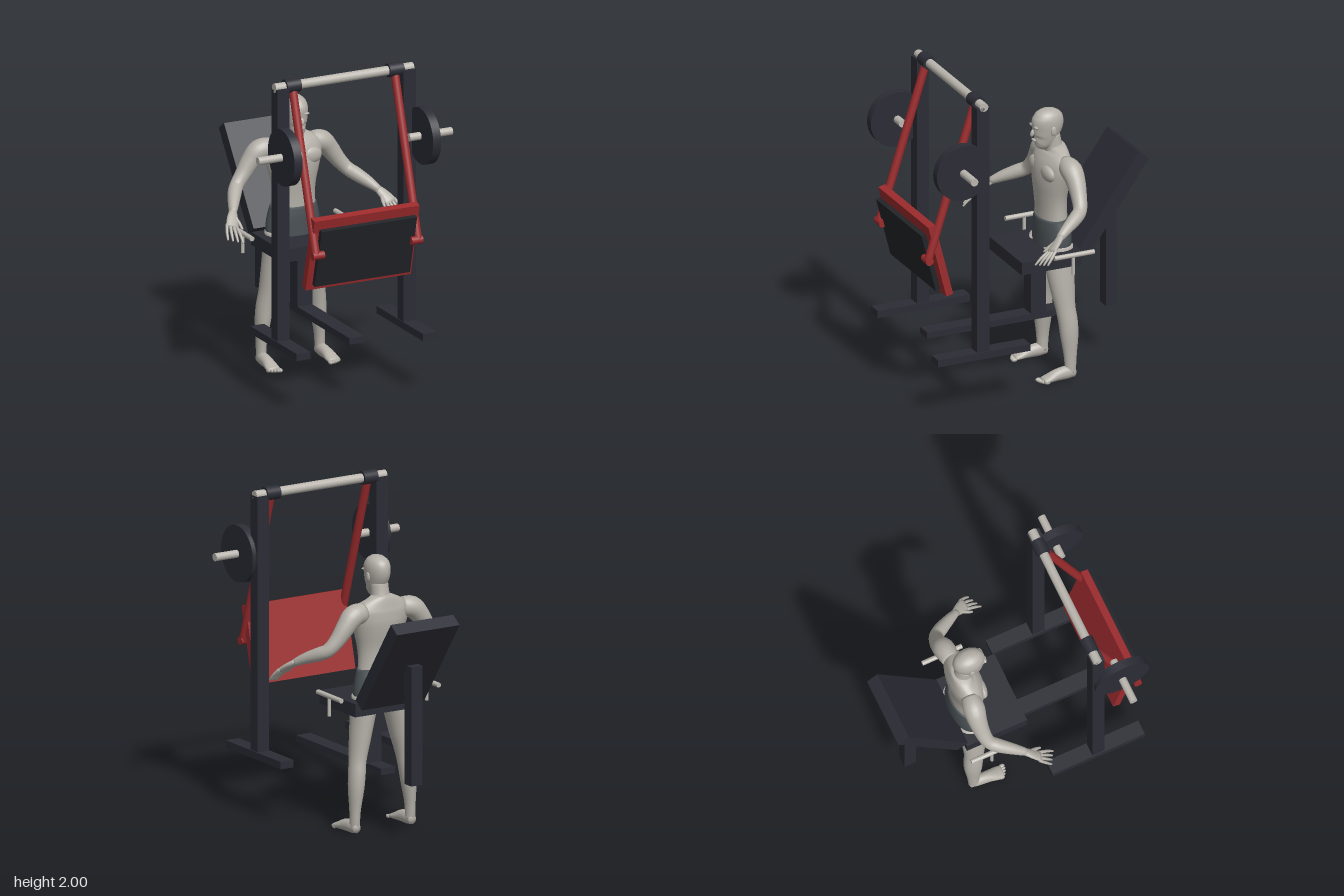
import * as THREE from 'three';

const mat = (name, color, side = THREE.FrontSide) => {
  const m = new THREE.MeshStandardMaterial({ color, side });
  m.name = name;
  return m;
};

export function createModel() {
  const model = new THREE.Group();
  model.name = 'leverMachineWithFigure';
  const steel = mat('darkSteel', 0x2b2c35);
  const red = mat('redPaint', 0x9c2b2d);
  const padding = mat('blackPadding', 0x232428);
  const bare = mat('paleMetal', 0xbab6ae);
  const skin = mat('greySkin', 0xb4b0a8);
  const cloth = mat('slateCloth', 0x4a5155);

  const add = (name, geometry, material, parent = model) => {
    const mesh = new THREE.Mesh(geometry, material);
    mesh.name = name;
    parent.add(mesh);
    return mesh;
  };
  // Box given by its lowest and highest corner
  const block = (name, x0, x1, y0, y1, z0, z1, m) => {
    const b = add(name, new THREE.BoxGeometry(x1 - x0, y1 - y0, z1 - z0), m);
    b.position.set((x0 + x1) / 2, (y0 + y1) / 2, (z0 + z1) / 2);
    return b;
  };
  // Slab tilted about the x axis
  const slab = (name, w, h, d, y, z, angle, m) => {
    const b = add(name, new THREE.BoxGeometry(w, h, d), m);
    b.position.set(0, y, z);
    b.rotation.x = angle;
  };
  // Round bar between two points
  const rod = (name, a, b, r, m, sides = 24) => {
    const p = new THREE.Vector3(...a), q = new THREE.Vector3(...b);
    const dir = q.clone().sub(p);
    const c = add(name, new THREE.CylinderGeometry(r, r, dir.length(), sides), m);
    c.position.copy(p).add(q).multiplyScalar(0.5);
    c.quaternion.setFromUnitVectors(new THREE.Vector3(0, 1, 0), dir.normalize());
    return c;
  };

  // Machine: central base, seat and backrest
  block('centreBase', -0.05, 0.05, 0.35, 0.39, -0.32, 0.61, steel);
  block('seatPost', -0.05, 0.05, 0.39, 0.73, -0.17, -0.07, steel);
  block('seat', -0.23, 0.23, 0.73, 0.81, -0.32, 0.075, steel);
  block('backrestPost', -0.04, 0.04, 0.35, 1.08, -0.64, -0.565, steel);
  slab('backrest', 0.44, 0.67, 0.084, 1.082, -0.536, -0.616, steel);

  // Swinging foot panel with its pad
  slab('pressPanel', 0.7, 0.476, 0.046, 0.973, 0.662, 0.25, red);
  slab('pressPad', 0.635, 0.38, 0.03, 0.957, 0.711, 0.25, padding);

  rod('topBar', [-0.46, 1.958, 0.43], [0.46, 1.958, 0.43], 0.028, bare);

  for (const s of [-1, 1]) {
    const span = (name, xa, xb, ...rest) =>
      block(name, Math.min(s * xa, s * xb), Math.max(s * xa, s * xb), ...rest);
    span('sideFoot', 0.375, 0.467, 0.345, 0.39, 0.13, 0.735, steel);
    span('upright', 0.38, 0.46, 0.35, 1.955, 0.395, 0.475, steel);
    rod('pivotCollar', [s * 0.295, 1.958, 0.43], [s * 0.39, 1.958, 0.43], 0.042, steel);
    rod('swingArm', [s * 0.34, 1.95, 0.433], [s * 0.34, 0.985, 0.74], 0.025, red);
    rod('armKnuckle', [s * 0.29, 0.985, 0.74], [s * 0.365, 0.985, 0.74], 0.025, red);
    rod('weightPeg', [s * 0.36, 1.572, 0.578], [s * 0.645, 1.572, 0.578], 0.024, bare);
    rod('weightPlate', [s * 0.435, 1.572, 0.578], [s * 0.488, 1.572, 0.578], 0.174, steel, 48);
    rod('handGrip', [s * 0.343, 0.852, -0.345], [s * 0.343, 0.852, -0.085], 0.015, bare);
    rod('gripPost', [s * 0.343, 0.73, -0.21], [s * 0.343, 0.852, -0.21], 0.011, bare);
  }

  // Smooth loft through elliptical sections [x, y, z, radius along ref, other radius]
  const X = [1, 0, 0];
  const loft = (sections, ref = X, s = 1, sides = 24, sub = 4) => {
    const path = new THREE.CatmullRomCurve3(
      sections.map(p => new THREE.Vector3(p[0] * s, p[1], p[2])), false, 'catmullrom');
    const size = new THREE.CatmullRomCurve3(
      sections.map(p => new THREE.Vector3(p[3], p[4] ?? p[3], 0)), false, 'catmullrom');
    const side = new THREE.Vector3(ref[0] * s, ref[1], ref[2]);
    const n = (sections.length - 1) * sub, pos = [], idx = [], ends = [];
    for (let i = 0; i <= n; i++) {
      const c = path.getPoint(i / n), r = size.getPoint(i / n), t = path.getTangent(i / n);
      const u = side.clone().addScaledVector(t, -side.dot(t)).normalize();
      const v = t.clone().cross(u);
      for (let j = 0; j < sides; j++) {
        const a = j / sides * Math.PI * 2;
        const p = c.clone().addScaledVector(u, r.x * Math.cos(a)).addScaledVector(v, r.y * Math.sin(a));
        pos.push(p.x, p.y, p.z);
      }
      if (i === 0 || i === n) ends.push(c.addScaledVector(t, (i ? 0.3 : -0.3) * Math.min(r.x, r.y)));
    }
    const base = (n + 1) * sides;
    ends.forEach(e => pos.push(e.x, e.y, e.z));
    for (let j = 0; j < sides; j++) {
      const k = (j + 1) % sides;
      for (let i = 0; i < n; i++) {
        const a = i * sides + j, b = i * sides + k;
        idx.push(a, b, b + sides, a, b + sides, a + sides);
      }
      idx.push(base, k, j, base + 1, n * sides + j, n * sides + k);
    }
    const g = new THREE.BufferGeometry();
    g.setAttribute('position', new THREE.Float32BufferAttribute(pos, 3));
    g.setIndex(idx);
    g.computeVertexNormals();
    return g;
  };

  // Standing figure
  const figure = new THREE.Group();
  figure.name = 'figure';
  model.add(figure);
  const body = (name, geometry, m = skin) => add(name, geometry, m, figure);
  const ball = (name, x, y, z, rx, ry, rz) => {
    const b = body(name, new THREE.SphereGeometry(1, 16, 12));
    b.position.set(x, y, z);
    b.scale.set(rx, ry, rz);
    return b;
  };

  body('torso', loft([
    [0, 0.95, -0.225, 0.145, 0.085], [0, 1.05, -0.222, 0.138, 0.085], [0, 1.13, -0.22, 0.145, 0.09],
    [0, 1.22, -0.223, 0.168, 0.1], [0, 1.3, -0.232, 0.188, 0.1], [0, 1.36, -0.245, 0.186, 0.085],
    [0, 1.4, -0.252, 0.14, 0.066], [0, 1.435, -0.25, 0.07, 0.055]], X, 1, 36));
  body('shorts', loft([
    [0, 0.77, -0.227, 0.172, 0.097], [0, 0.85, -0.23, 0.176, 0.1],
    [0, 0.93, -0.228, 0.164, 0.098], [0, 0.99, -0.225, 0.148, 0.09]], X, 1, 36), cloth);
  body('neck', loft([
    [0, 1.37, -0.25, 0.075, 0.06], [0, 1.43, -0.236, 0.057, 0.056], [0, 1.51, -0.22, 0.054, 0.056]]));
  body('head', loft([
    [0, 1.43, -0.145, 0.026, 0.03], [0, 1.45, -0.16, 0.044, 0.053], [0, 1.485, -0.183, 0.057, 0.076],
    [0, 1.525, -0.192, 0.065, 0.088], [0, 1.57, -0.2, 0.071, 0.099], [0, 1.61, -0.203, 0.07, 0.096],
    [0, 1.643, -0.203, 0.057, 0.077], [0, 1.663, -0.203, 0.034, 0.046]], X, 1, 32));
  ball('nose', 0, 1.527, -0.103, 0.012, 0.024, 0.013).rotation.x = -0.3;
  ball('lips', 0, 1.482, -0.111, 0.023, 0.009, 0.01);

  for (const s of [-1, 1]) {
    ball('ear', s * 0.071, 1.545, -0.21, 0.009, 0.03, 0.018);
    ball('brow', s * 0.028, 1.571, -0.112, 0.024, 0.008, 0.012);
    ball('chest', s * 0.08, 1.29, -0.165, 0.08, 0.055, 0.035);
    body('arm', loft([
      [0.13, 1.345, -0.255, 0.055, 0.06], [0.205, 1.335, -0.262, 0.066], [0.26, 1.28, -0.266, 0.058],
      [0.315, 1.205, -0.26, 0.048], [0.367, 1.145, -0.242, 0.042], [0.405, 1.115, -0.195, 0.042],
      [0.45, 1.08, -0.12, 0.034], [0.487, 1.045, -0.055, 0.024, 0.022]], [0, 0, 1], s));
    // Hand with spread fingers and thumb
    const across = [1, 0.4, -0.3];
    body('palm', loft([
      [0.483, 1.05, -0.063, 0.024, 0.02], [0.505, 1.022, -0.025, 0.035, 0.017],
      [0.53, 0.985, 0.02, 0.04, 0.014]], across, s, 16));
    for (let f = 0; f < 4; f++) {
      const k = f - 1.5;
      body('finger', loft([
        [0.528 + k * 0.019, 0.99 + k * 0.007, 0.012 - k * 0.006, 0.01],
        [0.538 + k * 0.024, 0.952 + k * 0.006, 0.058 - k * 0.012, 0.009],
        [0.543 + k * 0.026, 0.915 + k * 0.006, 0.092 - k * 0.015, 0.006]], across, s, 10, 3));
    }
    body('thumb', loft([
      [0.492, 1.03, -0.035, 0.014], [0.478, 0.995, 0.01, 0.011], [0.474, 0.968, 0.045, 0.007]],
      across, s, 10, 3));
    body('leg', loft([
      [0.1, 0.82, -0.226, 0.078, 0.09], [0.116, 0.72, -0.226, 0.07, 0.092],
      [0.14, 0.58, -0.232, 0.062, 0.078], [0.163, 0.45, -0.242, 0.051, 0.062],
      [0.176, 0.36, -0.253, 0.05, 0.06], [0.185, 0.27, -0.258, 0.046, 0.056],
      [0.193, 0.15, -0.26, 0.033, 0.041], [0.195, 0.08, -0.26, 0.03, 0.036],
      [0.195, 0.04, -0.258, 0.03, 0.034]], X, s));
    body('foot', loft([
      [0.195, 0.034, -0.287, 0.024, 0.028], [0.196, 0.041, -0.24, 0.033, 0.041],
      [0.198, 0.036, -0.17, 0.036, 0.036], [0.2, 0.023, -0.11, 0.043, 0.023],
      [0.201, 0.016, -0.075, 0.041, 0.015]], X, s));
    for (let t = 0; t < 5; t++)
      ball('toe', s * (0.167 + t * 0.017), 0.013, -0.064 - t * t * 0.0018, t ? 0.009 : 0.013, 0.012, 0.02);
  }
  return model;
}
